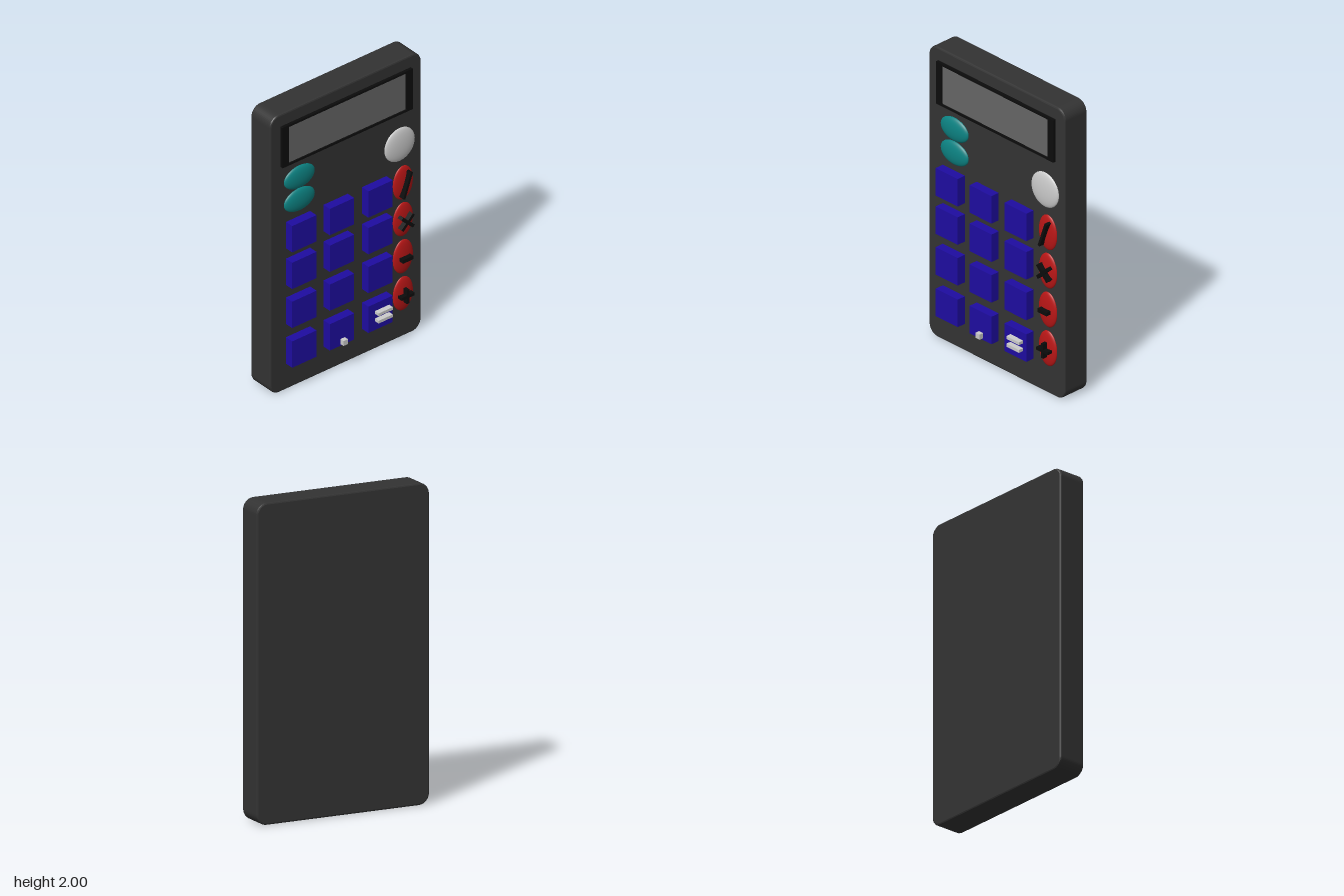
import * as THREE from 'three';

const mat = (color) => new THREE.MeshStandardMaterial({ color });
const FACE = 0.045; // front surface of the case
const DEPTH = 0.185;

// Rounded rectangle centred on (0, cy)
function roundedRect(w, h, r, cy) {
  const s = new THREE.Shape();
  const x = w / 2, b = cy - h / 2, t = cy + h / 2, q = Math.PI / 2;
  s.moveTo(-x + r, b);
  s.lineTo(x - r, b);
  s.absarc(x - r, b + r, r, -q, 0);
  s.lineTo(x, t - r);
  s.absarc(x - r, t - r, r, 0, q);
  s.lineTo(-x + r, t);
  s.absarc(-x + r, t - r, r, q, 2 * q);
  s.lineTo(-x, b + r);
  s.absarc(-x + r, b + r, r, 2 * q, 3 * q);
  return s;
}

export function createModel() {
  const model = new THREE.Group();
  model.name = 'calculator';
  // Laid out facing +z, then turned so the keypad faces +x
  const unit = new THREE.Group();
  unit.name = 'calculatorUnit';
  unit.rotation.y = Math.PI / 2;
  model.add(unit);

  const caseMat = mat(0x333333), black = mat(0x0c0c0c), glassMat = mat(0x666666);
  const blue = mat(0x1e0ca0), red = mat(0xb81616), teal = mat(0x0c8282), pale = mat(0xcccccc);

  function add(name, geometry, material, x, y, z, parent = unit) {
    const mesh = new THREE.Mesh(geometry, material);
    mesh.name = name;
    mesh.position.set(x, y, z);
    parent.add(mesh);
    return mesh;
  }
  const box = (name, w, h, d, material, x, y, z, parent) =>
    add(name, new THREE.BoxGeometry(w, h, d), material, x, y, z, parent);

  // Flat-sided case with rounded corners and a fine edge bevel
  const bevel = 0.01;
  const body = new THREE.ExtrudeGeometry(roundedRect(1.18 - 2 * bevel, 2 - 2 * bevel, 0.06, 1), {
    depth: DEPTH - 2 * bevel, bevelThickness: bevel, bevelSize: bevel, bevelSegments: 2, curveSegments: 6,
  });
  add('case', body, caseMat, 0, 0, FACE - DEPTH + bevel);

  // Display: raised black frame around a grey glass panel
  const frame = roundedRect(1.02, 0.292, 0.002, 1.769);
  frame.holes.push(roundedRect(0.92, 0.264, 0.002, 1.769));
  add('displayFrame', new THREE.ExtrudeGeometry(frame, { depth: 0.025, bevelEnabled: false, curveSegments: 1 }),
    black, 0, 0, FACE - 0.005);
  box('displayGlass', 0.92, 0.264, 0.015, glassMat, 0, 1.769, FACE + 0.003);

  // Low domed oval buttons
  function dome(name, rx, ry, height, material, x, y) {
    const mesh = add(name, new THREE.SphereGeometry(1, 40, 20), material, x, y, FACE);
    mesh.scale.set(rx, ry, height);
  }
  dome('powerOnButton', 0.12, 0.08, 0.028, teal, -0.365, 1.495);
  dome('powerOffButton', 0.12, 0.08, 0.028, teal, -0.365, 1.332);
  dome('clearButton', 0.118, 0.118, 0.025, pale, 0.42, 1.395);

  // Square keys, three columns by four rows
  const columns = [-0.374, -0.08, 0.222];
  const rows = [1.114, 0.849, 0.568, 0.281];
  for (const y of rows) {
    for (const x of columns) box('key', 0.19, 0.19, 0.065, blue, x, y, FACE + 0.0275);
  }

  // Raised signs on the bottom row: a point and a pair of bars
  box('pointMark', 0.035, 0.035, 0.035, pale, -0.075, 0.217, 0.1175);
  for (const y of [0.26, 0.313]) box('equalsBar', 0.11, 0.02, 0.04, pale, 0.234, y, 0.12);

  // Operator buttons, each sign given as bars [width, height, tilt]
  const operators = [
    ['divide', 1.11, [[0.017, 0.18, -0.34]]],
    ['multiply', 0.845, [[0.022, 0.125, 0.8], [0.022, 0.125, -0.8]]],
    ['subtract', 0.577, [[0.08, 0.025, 0]]],
    ['add', 0.31, [[0.1, 0.02, 0], [0.02, 0.1, 0]]],
  ];
  for (const [name, y, bars] of operators) {
    dome(name + 'Button', 0.078, 0.12, 0.022, red, 0.445, y);
    const sign = new THREE.Group();
    sign.name = name + 'Sign';
    sign.position.set(0.445, y, 0.075);
    unit.add(sign);
    for (const [w, h, tilt] of bars) {
      box('signBar', w, h, 0.045, black, 0, 0, 0, sign).rotation.z = tilt;
    }
  }
  return model;
}
